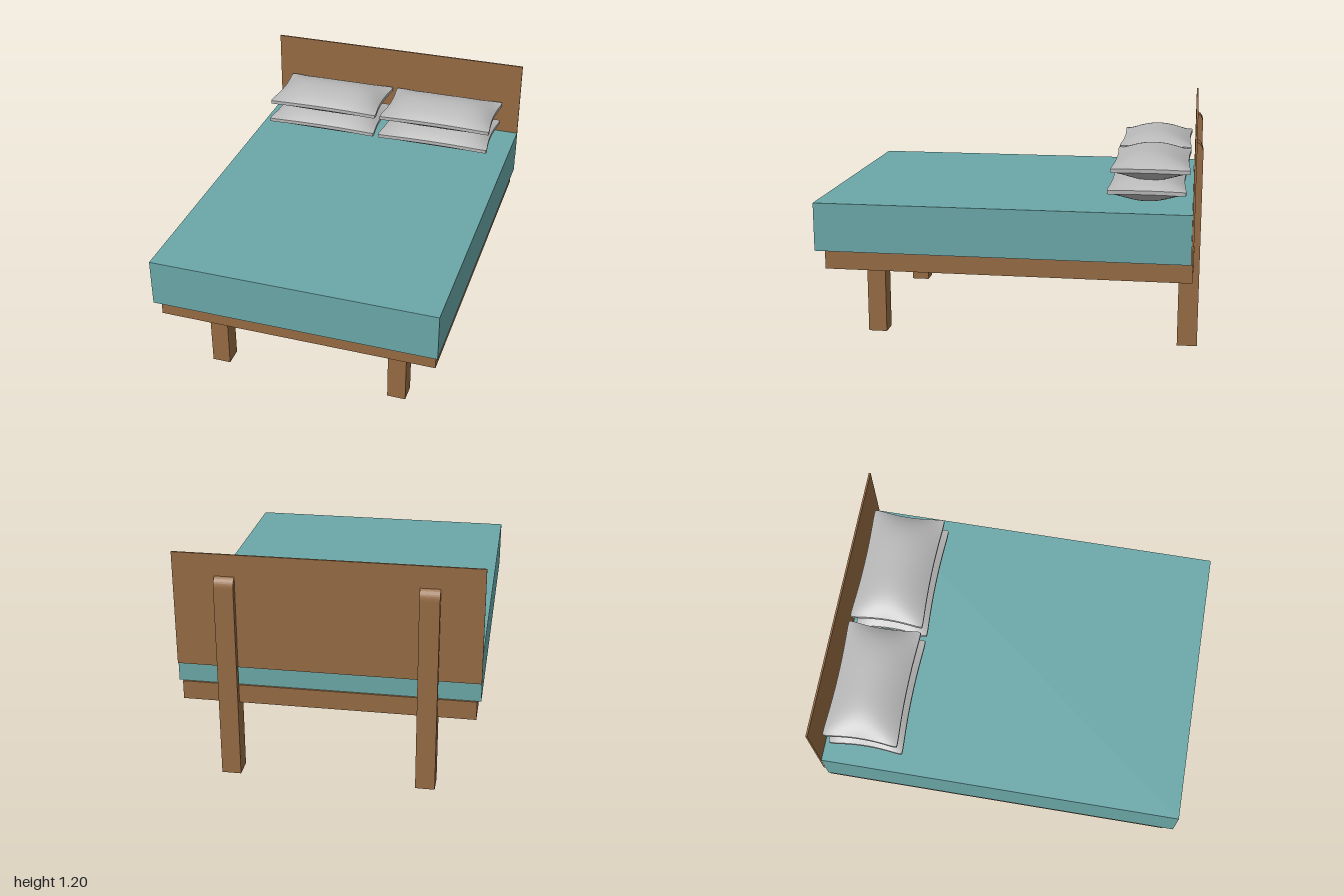
import * as THREE from 'three';

const wood = new THREE.MeshStandardMaterial({ color: 0x966b43 });
wood.name = 'wood';
const teal = new THREE.MeshStandardMaterial({ color: 0x6ba8a9 });
teal.name = 'teal fabric';
const linen = new THREE.MeshStandardMaterial({ color: 0xb8b8b8 });
linen.name = 'pillow linen';

// Box given by its extents on each axis
function box(parent, name, material, [x0, x1], [y0, y1], [z0, z1]) {
  const mesh = new THREE.Mesh(new THREE.BoxGeometry(x1 - x0, y1 - y0, z1 - z0), material);
  mesh.position.set((x0 + x1) / 2, (y0 + y1) / 2, (z0 + z1) / 2);
  mesh.name = name;
  parent.add(mesh);
  return mesh;
}

// Cushion: a box puffed up in the middle, with pinched sides and a thin seam
function pillowGeometry(hx, hz, up, down) {
  const geo = new THREE.BoxGeometry(2, 2, 2, 32, 1, 24);
  const p = geo.attributes.position;
  for (let i = 0; i < p.count; i++) {
    const u = p.getX(i), v = p.getZ(i), top = p.getY(i) > 0;
    const puff = (1 - u ** 4) * (1 - v * v);
    const corner = 1 - 0.025 * Math.abs(u * v) ** 12;
    p.setXYZ(i,
      hx * u * corner * (1 - 0.06 * (1 - v * v)),
      top ? 0.01 + up * puff : -0.01 - down * puff,
      hz * v * corner * (1 - 0.07 * (1 - u * u)));
  }
  geo.computeVertexNormals();
  return geo;
}

// Back leg running up behind the headboard, rounded at the top
function backLegGeometry() {
  const s = new THREE.Shape();
  s.moveTo(0.895, 0);
  s.lineTo(1, 0);
  s.lineTo(1, 1.03);
  s.quadraticCurveTo(1, 1.075, 0.968, 1.088);
  s.lineTo(0.968, 0.402);
  s.lineTo(0.895, 0.402);
  s.closePath();
  const geo = new THREE.ExtrudeGeometry(s, { depth: 0.1, bevelEnabled: false, curveSegments: 8 });
  return geo.translate(0, 0, -0.05).rotateY(Math.PI / 2);
}

export function createModel() {
  const bed = new THREE.Group();
  bed.name = 'bed';

  box(bed, 'mattress', teal, [-0.77, 0.77], [0.5, 0.757], [-0.957, 1]);
  box(bed, 'headboard', wood, [-0.77, 0.77], [0.6, 1.202], [-0.968, -0.958]);

  // Frame: outer rails, inner bearers and slats
  const frame = new THREE.Group();
  frame.name = 'frame';
  bed.add(frame);
  box(frame, 'frontRail', wood, [-0.75, 0.75], [0.4, 0.499], [0.9, 0.95]);
  box(frame, 'backRail', wood, [-0.75, 0.75], [0.4, 0.499], [-0.965, -0.915]);
  for (const s of [-1, 1]) {
    const x = s * 0.725, b = s * 0.505;
    box(frame, 'sideRail', wood, [x - 0.025, x + 0.025], [0.4, 0.499], [-0.915, 0.9]);
    box(frame, 'bearer', wood, [b - 0.04, b + 0.04], [0.402, 0.47], [-0.915, 0.9]);
  }
  const slats = 15, pitch = 1.815 / slats;
  for (let i = 0; i < slats; i++) {
    const z = -0.915 + pitch * (i + 0.5);
    box(frame, 'slat', wood, [-0.7, 0.7], [0.47, 0.495], [z - 0.043, z + 0.043]);
  }

  // Legs
  const backLeg = backLegGeometry();
  for (const s of [-1, 1]) {
    const x = s * 0.506;
    box(bed, 'frontLeg', wood, [x - 0.05, x + 0.05], [0, 0.47], [0.68, 0.78]);
    const leg = new THREE.Mesh(backLeg, wood);
    leg.name = 'backLeg';
    leg.position.x = x;
    bed.add(leg);
  }

  // Two stacks of two pillows
  const pillow = pillowGeometry(0.337, 0.205, 0.064, 0.07);
  for (const x of [-0.352, 0.338]) {
    for (const [dx, y, z] of [[-0.004, 0.839, -0.72], [0, 0.951, -0.738]]) {
      const mesh = new THREE.Mesh(pillow, linen);
      mesh.name = 'pillow';
      mesh.position.set(x + dx, y, z);
      bed.add(mesh);
    }
  }
  return bed;
}
